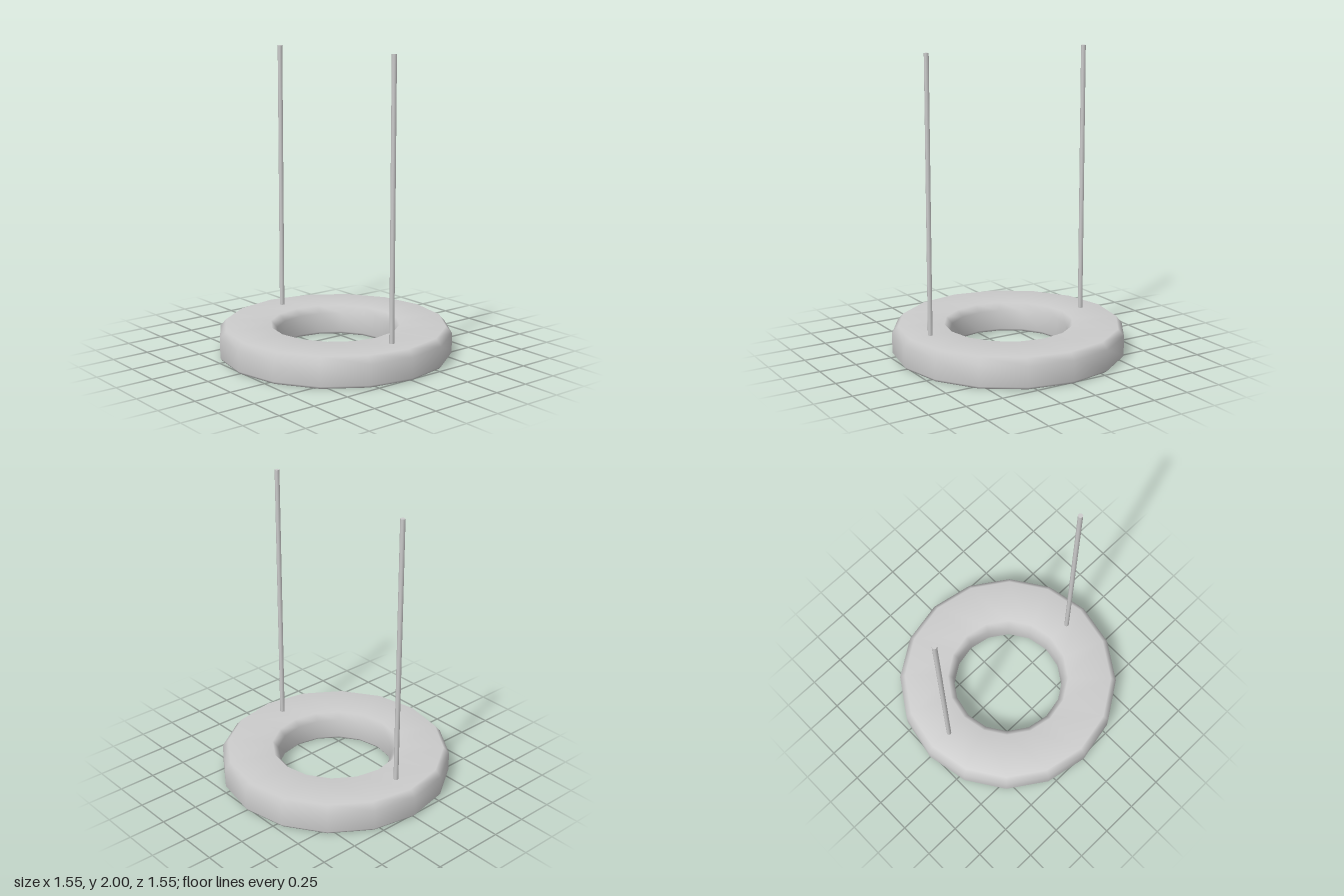
import * as THREE from 'three';

const SIDES = 16;
const material = new THREE.MeshStandardMaterial({ color: 0xcccccc });

function addMesh(group, name, geometry) {
  const mesh = new THREE.Mesh(geometry, material);
  mesh.name = name;
  group.add(mesh);
  return mesh;
}

export function createModel() {
  const group = new THREE.Group();
  group.name = 'ringPendantLamp';

  // Ring housing: bevelled section, open underneath where the diffuser sits
  const section = [
    [0.725, 0.01], [0.727, 0], [0.762, 0], [0.775, 0.017], [0.775, 0.15], [0.735, 0.195],
    [0.43, 0.195], [0.39, 0.15], [0.39, 0.017], [0.403, 0], [0.443, 0], [0.445, 0.01],
  ].map(([r, y]) => new THREE.Vector2(r, y));
  addMesh(group, 'ringHousing', new THREE.LatheGeometry(section, SIDES));

  // Flat diffuser facing down, set just inside the rim
  const diffuser = new THREE.RingGeometry(0.445, 0.725, SIDES);
  diffuser.rotateX(Math.PI / 2);
  addMesh(group, 'diffuser', diffuser).position.y = 0.008;

  // Two thin suspension rods, front and back
  const bottom = 0.19, top = 2;
  for (const [name, z] of [['frontRod', 0.584], ['backRod', -0.586]]) {
    const rod = addMesh(group, name, new THREE.CylinderGeometry(0.016, 0.016, top - bottom, 8));
    rod.position.set(-0.009, (top + bottom) / 2, z);
  }

  return group;
}
